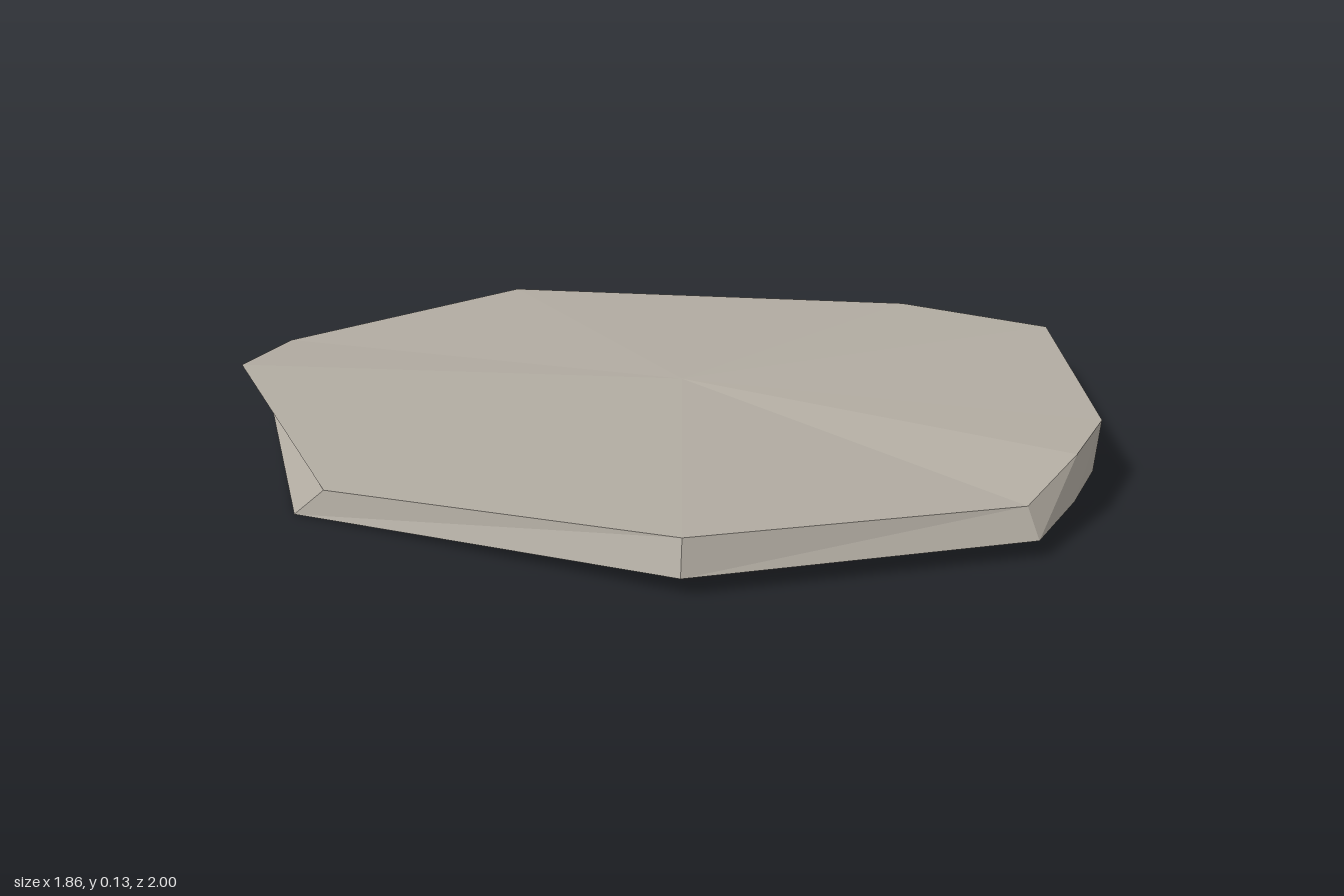
import * as THREE from 'three';

// Matching rims [x, y, z], counter-clockwise seen from above, starting at the front.
const topRim = [
  [-0.28, 0.1, 0.975], [0.39, 0.09, 0.965], [0.56, 0.13, 0.82], [0.71, 0.13, 0.63], [0.93, 0.13, -0.09],
  [0.74, 0.095, -0.53], [-0.17, 0.088, -0.985], [-0.79, 0.065, -0.71], [-0.93, 0.083, -0.45], [-0.845, 0.058, 0.42],
];
const bottomRim = [
  [-0.29, 0.033, 1], [0.4, 0.033, 1], [0.56, 0.033, 0.82], [0.68, 0.033, 0.66], [0.93, 0.033, -0.09],
  [0.61, 0.035, -0.7], [-0.14, 0.038, -1], [-0.79, 0.035, -0.71], [-0.87, 0.033, -0.585], [-0.9, 0, 0.38],
];

function flatMesh(name, triangles, material) {
  const geometry = new THREE.BufferGeometry();
  geometry.setAttribute('position', new THREE.Float32BufferAttribute(triangles.flat(2), 3));
  geometry.computeVertexNormals();
  const mesh = new THREE.Mesh(geometry, material);
  mesh.name = name;
  return mesh;
}

export function createModel() {
  const stone = new THREE.MeshStandardMaterial({ color: 0xb0aaa0 });
  stone.name = 'warm grey stone';

  const n = topRim.length;
  const topCentre = [0, 0.1, 0];
  const bottomCentre = [0, 0.025, 0];
  const top = [], sides = [], bottom = [];
  for (let i = 0; i < n; i++) {
    const j = (i + 1) % n;
    top.push([topCentre, topRim[i], topRim[j]]);
    bottom.push([bottomCentre, bottomRim[j], bottomRim[i]]);
    sides.push([bottomRim[i], bottomRim[j], topRim[j]], [bottomRim[i], topRim[j], topRim[i]]);
  }

  const slab = new THREE.Group();
  slab.name = 'flatStone';
  slab.add(
    flatMesh('topFace', top, stone),
    flatMesh('chippedEdge', sides, stone),
    flatMesh('underside', bottom, stone),
  );
  return slab;
}
